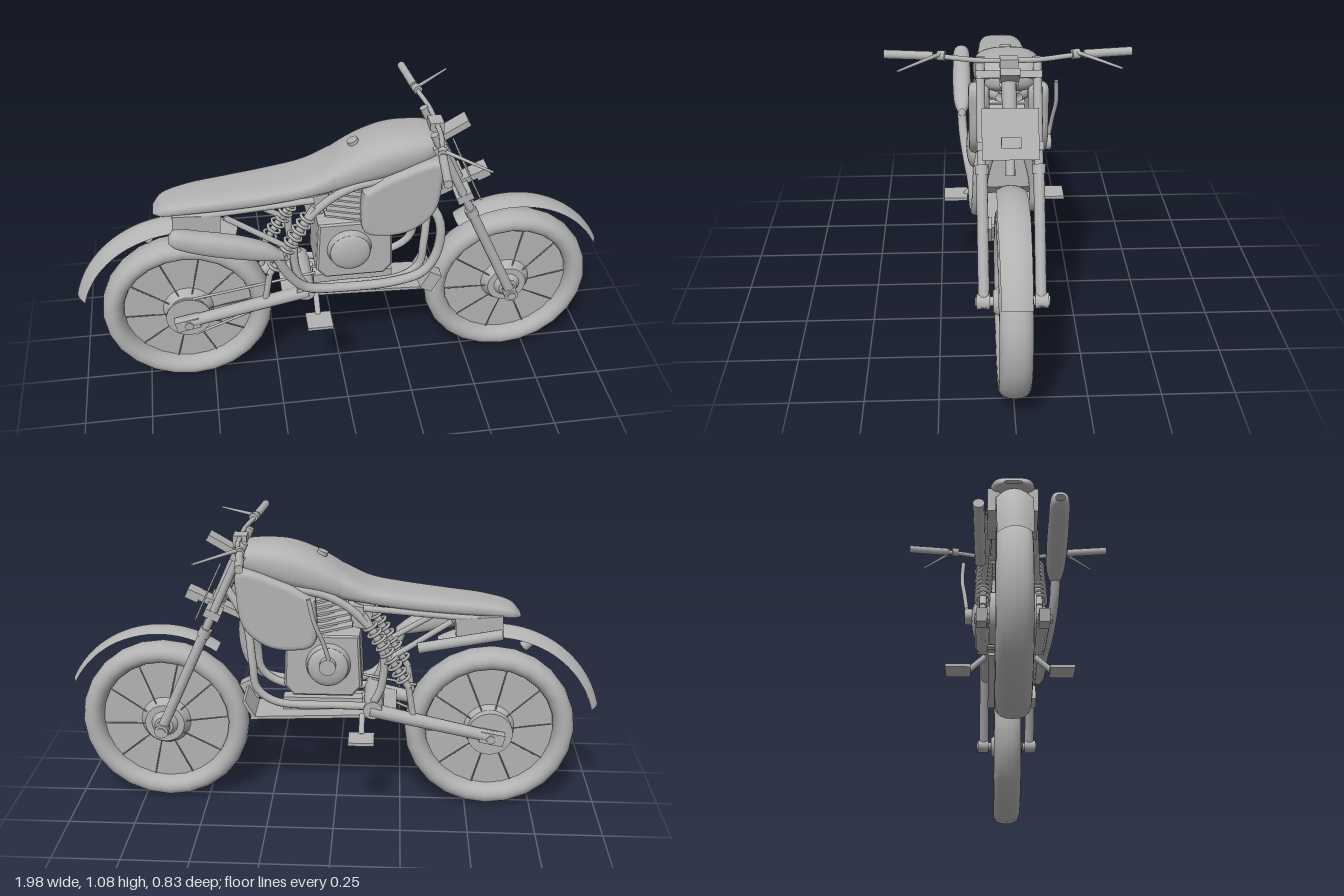
import * as THREE from 'three';
import { ParametricGeometry } from 'three/addons/geometries/ParametricGeometry.js';

const grey = new THREE.MeshStandardMaterial({ color: 0xb2b2b2, side: THREE.DoubleSide });
grey.name = 'plain grey';
const V = (p) => new THREE.Vector3(...p);

export function createModel() {
  const root = new THREE.Group();
  const add = (name, geo, pos = [0, 0, 0], rotZ = 0, parent = root) => {
    const m = new THREE.Mesh(geo, grey);
    m.name = name;
    m.position.set(...pos);
    m.rotation.z = rotZ;
    parent.add(m);
    return m;
  };
  const box = (name, size, pos, rotZ = 0) => add(name, new THREE.BoxGeometry(...size), pos, rotZ);
  // straight round bar from a to b
  const rod = (name, a, b, r, r2 = r, sides = 12, parent = root) => {
    const d = V(b).sub(V(a));
    const m = add(name, new THREE.CylinderGeometry(r2, r, d.length(), sides), V(a).add(V(b)).multiplyScalar(0.5).toArray(), 0, parent);
    m.quaternion.setFromUnitVectors(new THREE.Vector3(0, 1, 0), d.normalize());
    return m;
  };
  const tube = (name, pts, r) =>
    add(name, new THREE.TubeGeometry(new THREE.CatmullRomCurve3(pts.map(V)), 40, r, 10));
  // disc or drum whose axis runs along z
  const drum = (name, r, z0, z1, x, y, parent = root, r2 = r) =>
    rod(name, [x, y, z0], [x, y, z1], r, r2, 28, parent);
  const bothSides = (fn) => [1, -1].forEach(fn);
  // smooth body from rows of [x, top, bottom, halfWidth]
  const loft = (name, rows, power = 0.75) => {
    const a = new THREE.CatmullRomCurve3(rows.map(([x, t, b]) => V([x, (t + b) / 2, (t - b) / 2])));
    const w = new THREE.CatmullRomCurve3(rows.map(([x, , , h]) => V([x, h, 0])));
    const sp = (c) => Math.sign(c) * Math.abs(c) ** power;
    return add(name, new ParametricGeometry((u, v, out) => {
      const p = a.getPoint(u), t = -v * Math.PI * 2;
      out.set(p.x, p.y + p.z * sp(Math.sin(t)), w.getPoint(u).y * sp(Math.cos(t)));
    }, 40, 32));
  };

  // wheels: tyre, rim disc, spokes and hub
  const wheel = (name, x, half) => {
    const g = new THREE.Group();
    g.name = name;
    g.position.set(x, 0.322, 0);
    root.add(g);
    const prof = [];
    for (let i = 0; i <= 20; i++) {
      const t = (i / 20) * Math.PI * 2;
      prof.push(new THREE.Vector2(0.281 + 0.04 * Math.cos(t), half * Math.sign(Math.sin(t)) * Math.abs(Math.sin(t)) ** 0.8));
    }
    add('tyre', new THREE.LatheGeometry(prof, 24).rotateX(Math.PI / 2), [0, 0, 0], 0, g);
    drum('rimDisc', 0.25, -0.008, 0.008, 0, 0, g);
    bothSides((s) => {
      for (let i = 0; i < 10; i++) {
        const t = (i / 10) * Math.PI * 2 + s * 0.08;
        const c = Math.cos(t), n = Math.sin(t);
        rod('spoke', [c * 0.06, n * 0.06, s * 0.035], [c * 0.245, n * 0.245, s * 0.012], 0.0025, 0.0025, 5, g);
      }
      drum('hubCone', 0.095, s * 0.012, s * 0.045, 0, 0, g, 0.075);
      drum('hubCap', 0.05, s * 0.045, s * 0.065, 0, 0, g, 0.035);
    });
    drum('axle', 0.016, -0.125, 0.125, 0, 0, g);
  };
  wheel('frontWheel', 0.655, 0.054);
  wheel('rearWheel', -0.58, 0.058);
  drum('rearSprocket', 0.085, 0.065, 0.072, -0.58, 0.322);
  drum('rearBrakeDrum', 0.085, -0.075, -0.04, -0.58, 0.322);

  // arched mudguards with a crowned cross-section
  const fender = (name, cx, r, a0, a1, half, drop) => add(name, new ParametricGeometry((u, v, out) => {
    const a = THREE.MathUtils.degToRad(a0 + (a1 - a0) * u), k = v * 2 - 1;
    const rr = r - drop * k * k;
    out.set(cx + rr * Math.cos(a), 0.322 + rr * Math.sin(a), k * half * (1 - 0.15 * Math.abs(u - 0.5)));
  }, 28, 10));
  fender('frontFender', 0.655, 0.385, 27, 125, 0.052, 0.016);
  fender('rearFender', -0.58, 0.415, 60, 165, 0.06, 0.03);
  rod('fenderTab', [-0.69, 0.65, 0], [-0.73, 0.69, 0], 0.02);

  // front fork, clamps, steering head and plate
  const rake = 0.43;
  bothSides((s) => {
    const z = s * 0.095;
    rod('forkTube', [0.32, 1.06, z], [0.49, 0.69, z], 0.015);
    rod('forkSlider', [0.475, 0.72, z], [0.665, 0.305, z], 0.019);
    rod('forkSeal', [0.468, 0.735, z], [0.482, 0.705, z], 0.023);
    drum('axleClamp', 0.026, s * 0.075, s * 0.12, 0.655, 0.322);
  });
  rod('steeringHead', [0.335, 1.03, 0], [0.455, 0.765, 0], 0.025);
  rod('steeringStem', [0.44, 0.79, 0], [0.485, 0.7, 0], 0.016);
  box('upperClamp', [0.05, 0.025, 0.22], [0.345, 1.005, 0], rake);
  box('lowerClamp', [0.06, 0.03, 0.22], [0.445, 0.79, 0], rake);
  box('upperBracket', [0.13, 0.025, 0.065], [0.405, 1.025, 0], rake + 0.1);
  box('lampBracket', [0.22, 0.024, 0.06], [0.445, 0.805, 0], rake);
  box('lampBracketTip', [0.05, 0.035, 0.065], [0.525, 0.837, 0], rake);
  box('numberPlate', [0.006, 0.17, 0.188], [0.472, 0.845, 0], rake);

  // handlebar, grips and levers
  tube('handlebar', [[0.3, 1.066, 0.4], [0.32, 1.063, 0.23], [0.343, 1.056, 0.1], [0.345, 1.055, 0],
    [0.343, 1.056, -0.1], [0.32, 1.063, -0.23], [0.3, 1.066, -0.4]], 0.009);
  box('barClamp', [0.05, 0.05, 0.06], [0.345, 1.04, 0]);
  bothSides((s) => {
    rod('grip', [0.298, 1.066, s * 0.412], [0.316, 1.064, s * 0.25], 0.015);
    rod('leverPerch', [0.318, 1.066, s * 0.235], [0.324, 1.066, s * 0.21], 0.017);
    rod('lever', [0.325, 1.074, s * 0.225], [0.46, 1.064, s * 0.36], 0.007, 0.004);
  });

  // tank and seat
  loft('tank', [[-0.12, 0.88, 0.85, 0.05], [-0.04, 0.94, 0.84, 0.1], [0.06, 1.0, 0.86, 0.115], [0.16, 1.038, 0.88, 0.118],
    [0.25, 1.045, 0.91, 0.11], [0.33, 1.035, 0.94, 0.09], [0.365, 0.995, 0.96, 0.03]]);
  loft('seat', [[-0.67, 0.785, 0.775, 0.03], [-0.64, 0.815, 0.775, 0.06], [-0.55, 0.84, 0.785, 0.08], [-0.4, 0.858, 0.795, 0.092],
    [-0.25, 0.876, 0.81, 0.1], [-0.12, 0.9, 0.83, 0.105], [0, 0.96, 0.85, 0.1], [0.1, 0.99, 0.9, 0.04]], 0.65);
  drum('fillerCap', 0.02, -0.008, 0.008, 0.05, 1.0).rotation.set(0, 0, 0.4);

  // side lobes below the tank
  const lobe = new THREE.Shape();
  lobe.moveTo(0.07, 0.86);
  lobe.splineThru([[0.18, 0.92], [0.34, 0.965], [0.352, 0.86], [0.33, 0.75], [0.25, 0.68], [0.15, 0.665], [0.07, 0.7], [0.07, 0.86]].map((p) => new THREE.Vector2(...p)));
  const lobeGeo = new THREE.ExtrudeGeometry(lobe, { depth: 0.03, bevelThickness: 0.02, bevelSize: 0.02, bevelOffset: -0.02, bevelSegments: 4, curveSegments: 10 });
  bothSides((s) => add('tankLobe', lobeGeo, [0, 0, s * 0.1 - 0.015]));

  // engine with finned cylinder
  const caseShape = new THREE.Shape([[-0.09, 0.52], [-0.06, 0.485], [0.15, 0.485], [0.18, 0.52], [0.175, 0.66], [0.12, 0.71], [-0.08, 0.71]].map((p) => new THREE.Vector2(...p)));
  add('crankcase', new THREE.ExtrudeGeometry(caseShape, { depth: 0.16, bevelThickness: 0.02, bevelSize: 0.01, bevelSegments: 2 }), [0, 0, -0.08]);
  rod('cylinder', [0.02, 0.68, 0], [0.07, 0.89, 0], 0.065, 0.06, 20);
  for (let i = 0; i < 7; i++) box('coolingFin', [0.19, 0.008, 0.18], [0.03 + i * 0.006, 0.73 + i * 0.023, 0], -0.23);
  bothSides((s) => {
    drum('engineCover', 0.085, s * 0.09, s * 0.125, 0.025, 0.605, root, 0.075);
    const dome = add('coverDome', new THREE.SphereGeometry(0.075, 24, 12), [0.025, 0.605, s * 0.122]);
    dome.scale.z = 0.3;
  });
  drum('kickPivot', 0.03, -0.17, -0.12, 0.025, 0.62);
  tube('kickLever', [[0.02, 0.65, -0.163], [0.04, 0.72, -0.172], [0.07, 0.8, -0.183], [0.09, 0.885, -0.18]], 0.008);
  box('carburettor', [0.1, 0.08, 0.09], [-0.08, 0.77, 0], 0.2);

  // frame, subframe, swingarm, shocks and foot pegs
  tube('backbone', [[0.37, 0.95, 0], [0.2, 0.93, 0], [0, 0.88, 0], [-0.12, 0.8, 0]], 0.022);
  bothSides((s) => {
    tube('upperFrameTube', [[0.36, 0.93, s * 0.03], [0.2, 0.9, s * 0.09], [0.03, 0.87, s * 0.1], [-0.08, 0.8, s * 0.1],
      [-0.17, 0.67, s * 0.1], [-0.17, 0.52, s * 0.1], [-0.13, 0.43, s * 0.1]], 0.015);
    tube('downTube', [[0.4, 0.87, s * 0.025], [0.33, 0.75, s * 0.05], [0.305, 0.6, s * 0.085], [0.29, 0.5, s * 0.09],
      [0.22, 0.447, s * 0.09], [0, 0.437, s * 0.09], [-0.14, 0.44, s * 0.1]], 0.015);
    rod('seatRail', [-0.1, 0.82, s * 0.085], [-0.6, 0.775, s * 0.07], 0.012);
    rod('seatStay', [-0.18, 0.62, s * 0.1], [-0.42, 0.775, s * 0.08], 0.011);
    rod('swingarm', [-0.13, 0.425, s * 0.1], [-0.6, 0.322, s * 0.1], 0.027, 0.022);
    box('axleBlock', [0.09, 0.045, 0.035], [-0.585, 0.322, s * 0.1], 0.2);
    const low = V([-0.27, 0.52, s * 0.1]), high = V([-0.1, 0.8, s * 0.095]);
    rod('shockBody', low.toArray(), high.toArray(), 0.013);
    rod('shockMount', [-0.29, 0.4, s * 0.1], low.toArray(), 0.012);
    for (let i = 0; i < 9; i++) {
      const coil = add('springCoil', new THREE.TorusGeometry(0.026, 0.006, 6, 16), low.clone().lerp(high, 0.12 + i * 0.09).toArray());
      coil.quaternion.setFromUnitVectors(new THREE.Vector3(0, 0, 1), high.clone().sub(low).normalize());
    }
    box('footPeg', [0.095, 0.012, 0.09], [-0.1, 0.346, s * 0.187]);
    rod('pegArm', [-0.1, 0.346, s * 0.15], [-0.1, 0.4, s * 0.09], 0.011);
    rod('chainRun', [-0.56, 0.322 + s * 0.085, 0.068], [-0.1, 0.46 + s * 0.03, 0.078], 0.005);
  });
  drum('swingarmPivot', 0.035, -0.12, 0.12, -0.14, 0.43);
  box('swingarmBrace', [0.05, 0.04, 0.19], [-0.2, 0.41, 0], 0.2);

  // skid plate and tail box
  box('skidPlate', [0.47, 0.012, 0.16], [0.085, 0.38, 0], -0.04);
  box('skidPlateMount', [0.3, 0.05, 0.05], [0.05, 0.41, 0]);
  box('skidPlateNose', [0.05, 0.08, 0.05], [0.335, 0.42, 0.085], -0.5);
  box('skidPlateFront', [0.012, 0.08, 0.16], [0.325, 0.405, 0], -0.5);
  box('tailBox', [0.17, 0.09, 0.17], [-0.52, 0.745, 0], -0.08);
  rod('tailBoxTube', [-0.6, 0.74, -0.115], [-0.3, 0.68, -0.11], 0.02);

  // exhaust header and silencer on the left
  tube('exhaustPipe', [[0.12, 0.79, 0.03], [0.3, 0.77, 0.07], [0.355, 0.7, 0.1], [0.35, 0.56, 0.11], [0.3, 0.48, 0.115],
    [0.2, 0.45, 0.12], [0, 0.447, 0.125], [-0.14, 0.475, 0.14], [-0.21, 0.56, 0.155], [-0.25, 0.65, 0.16]], 0.018);
  const silencer = loft('silencer', [[-0.62, 0.765, 0.74, 0.016], [-0.6, 0.787, 0.722, 0.03], [-0.5, 0.77, 0.682, 0.036],
    [-0.36, 0.735, 0.648, 0.036], [-0.27, 0.695, 0.632, 0.03], [-0.22, 0.655, 0.625, 0.014]], 0.85);
  silencer.position.z = 0.158;
  return root;
}
